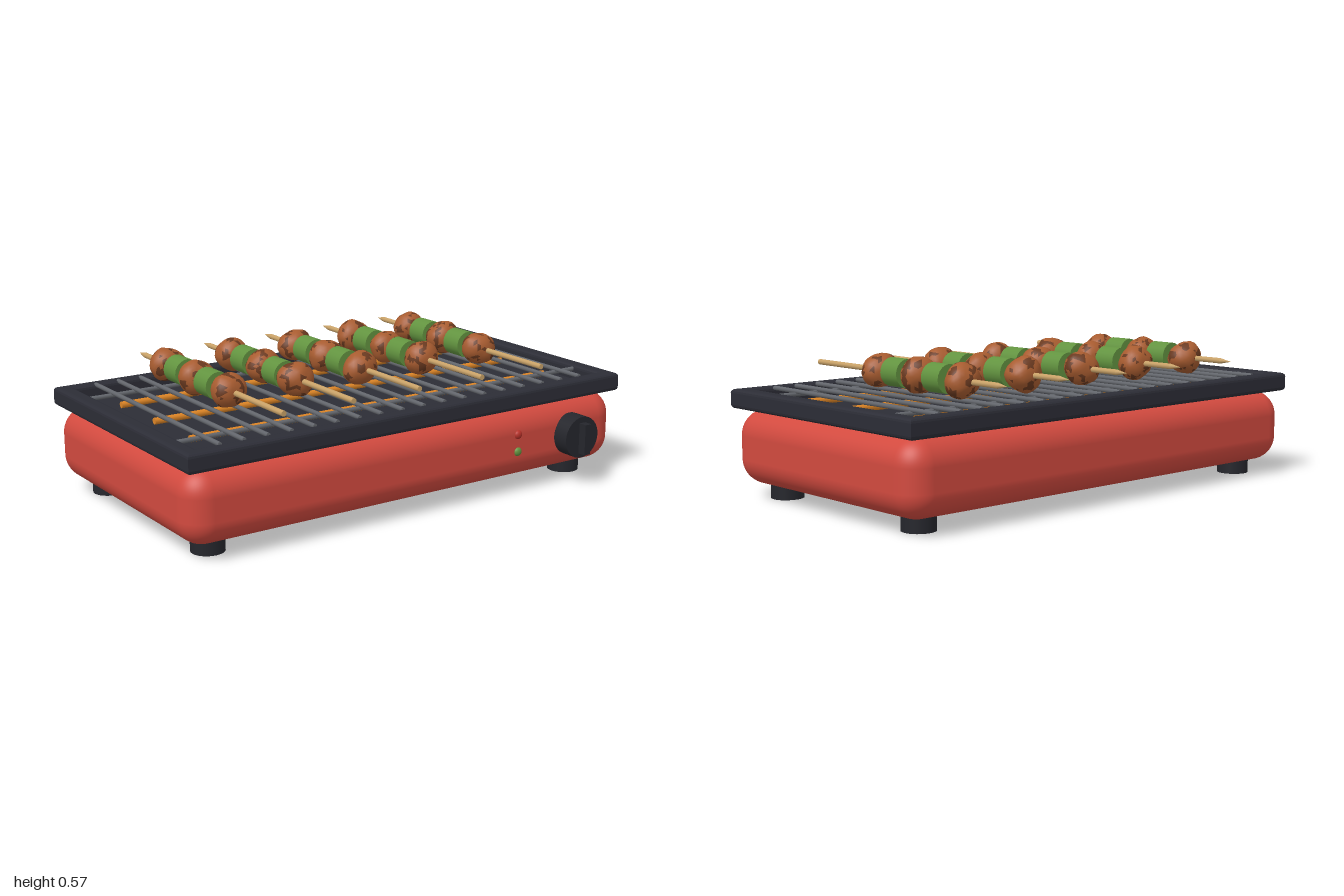
import * as THREE from 'three';
import { mergeVertices } from 'three/addons/utils/BufferGeometryUtils.js';
import { RoundedBoxGeometry } from 'three/addons/geometries/RoundedBoxGeometry.js';

const paint = (name, color) => {
  const m = new THREE.MeshStandardMaterial({ color });
  m.name = name;
  return m;
};

export function createModel() {
  const red = paint('body red', 0xd24a3f);
  const dark = paint('charcoal', 0x2c2d36);
  const black = paint('knob black', 0x25262c);
  const steel = paint('grate steel', 0x63666c);
  const orange = paint('glowing orange', 0xdd8526);
  const wood = paint('skewer wood', 0xc9a268);
  const brown = paint('meat brown', 0xa85c30);
  const char = paint('char brown', 0x6b3a20);
  const green = paint('pepper green', 0x639440);
  const lampRed = paint('lamp red', 0xb8322a);

  const model = new THREE.Group();
  model.name = 'tableGrill';
  const add = (name, geo, mat, x, y, z, parent = model) => {
    const mesh = new THREE.Mesh(geo, mat);
    mesh.name = name;
    mesh.position.set(x, y, z);
    parent.add(mesh);
    return mesh;
  };
  const rodX = (r, len) => new THREE.CylinderGeometry(r, r, len, 10).rotateZ(Math.PI / 2);
  const rodZ = (r, len, sides = 10) => new THREE.CylinderGeometry(r, r, len, sides).rotateX(Math.PI / 2);
  const midZ = -0.035;

  // Housing and feet
  add('body', new RoundedBoxGeometry(2, 0.29, 1.1, 6, 0.1), red, 0, 0.2, midZ);
  for (const x of [-0.85, 0.85]) for (const z of [-0.4, 0.4])
    add('foot', new THREE.CylinderGeometry(0.064, 0.064, 0.07, 24), black, x, 0.035, midZ + z);

  // Rim frame with an open middle, and the tray floor
  const bevel = 0.015;
  const rect = (path, w, h) => {
    path.moveTo(-w, -h);
    path.lineTo(w, -h);
    path.lineTo(w, h);
    path.lineTo(-w, h);
    path.closePath();
    return path;
  };
  const frame = rect(new THREE.Shape(), 1 - bevel, 0.55 - bevel);
  frame.holes.push(rect(new THREE.Path(), 0.935 + bevel, 0.4875 + bevel));
  const rim = new THREE.ExtrudeGeometry(frame, {
    depth: 0.075 - 2 * bevel, bevelThickness: bevel, bevelSize: bevel, bevelSegments: 3,
  });
  rim.rotateX(-Math.PI / 2);
  add('rim', rim, dark, 0, 0.345 + bevel, midZ);
  add('trayFloor', new THREE.BoxGeometry(1.93, 0.015, 1.03), dark, 0, 0.3535, midZ);

  // Heating elements under the grate
  for (const z of [-0.315, -0.04, 0.235])
    add('heatingElement', rodX(0.013, 1.68), orange, 0, 0.382, z);

  // Grate
  for (let i = 0; i < 18; i++)
    add('grateBar', rodZ(0.009, 0.99), steel, -0.84 + i * 1.68 / 17, 0.416, -0.042);
  for (const z of [-0.39, 0.31])
    add('grateCrossBar', rodX(0.009, 1.88), steel, 0, 0.404, z);

  // Control knob and indicator lamps
  add('knob', rodZ(0.085, 0.08, 32), black, 0.745, 0.205, 0.545);
  add('knobGrip', new THREE.BoxGeometry(0.03, 0.125, 0.04), black, 0.745, 0.203, 0.6);
  [[0.245, lampRed], [0.175, green]].forEach(([y, mat]) =>
    add('lamp', new THREE.SphereGeometry(0.018, 16, 12).scale(1, 1, 0.7), mat, 0.47, y, 0.514));

  // Lumpy meat ball: waves push the surface, and some faces are charred
  const meatGeometry = (seed) => {
    let geo = new THREE.IcosahedronGeometry(1, 4);
    geo.deleteAttribute('normal');
    geo.deleteAttribute('uv');
    geo = mergeVertices(geo, 1e-4);
    const pos = geo.attributes.position;
    const v = new THREE.Vector3();
    const wave = (p, f, s) => Math.sin(p.x * f + s) * Math.sin(p.y * f + s * 1.7) +
      Math.sin(p.z * f + s * 2.3) * Math.cos(p.x * f - s);
    const faces = [[], []];
    const idx = geo.index.array;
    for (let i = 0; i < idx.length; i += 3) {
      v.set(0, 0, 0);
      for (let k = 0; k < 3; k++) {
        v.x += pos.getX(idx[i + k]) / 3;
        v.y += pos.getY(idx[i + k]) / 3;
        v.z += pos.getZ(idx[i + k]) / 3;
      }
      const charred = wave(v, 5.5, seed * 1.9) + 0.4 * wave(v, 13, seed) > 0.62;
      faces[charred ? 1 : 0].push(idx[i], idx[i + 1], idx[i + 2]);
    }
    for (let i = 0; i < pos.count; i++) {
      v.fromBufferAttribute(pos, i);
      v.multiplyScalar(1 + 0.05 * wave(v, 2.6, seed) + 0.02 * wave(v, 7, seed * 3));
      pos.setXYZ(i, v.x * 0.074, v.y * 0.067, v.z * 0.06);
    }
    geo.setIndex([...faces[0], ...faces[1]]);
    geo.addGroup(0, faces[0].length, 0);
    geo.addGroup(faces[0].length, faces[1].length, 1);
    geo.computeVertexNormals();
    return geo;
  };

  // Skewers
  [-0.6, -0.3, 0, 0.3, 0.6].forEach((x, n) => {
    const skewer = new THREE.Group();
    skewer.name = 'skewer';
    skewer.position.set(x, 0.497, 0);
    model.add(skewer);
    add('stick', rodZ(0.011, 1.058), wood, 0, 0, -0.039, skewer);
    add('stickTip', new THREE.ConeGeometry(0.011, 0.052, 10).rotateX(-Math.PI / 2), wood, 0, 0, -0.594, skewer);
    [0.1, -0.14, -0.38].forEach((z, k) =>
      add('meat', meatGeometry(n * 3 + k + 1), [brown, char], 0, 0, z, skewer));
    for (const z of [-0.02, -0.26])
      add('pepper', rodZ(0.055, 0.095, 20), green, 0, 0, z, skewer);
  });
  return model;
}
